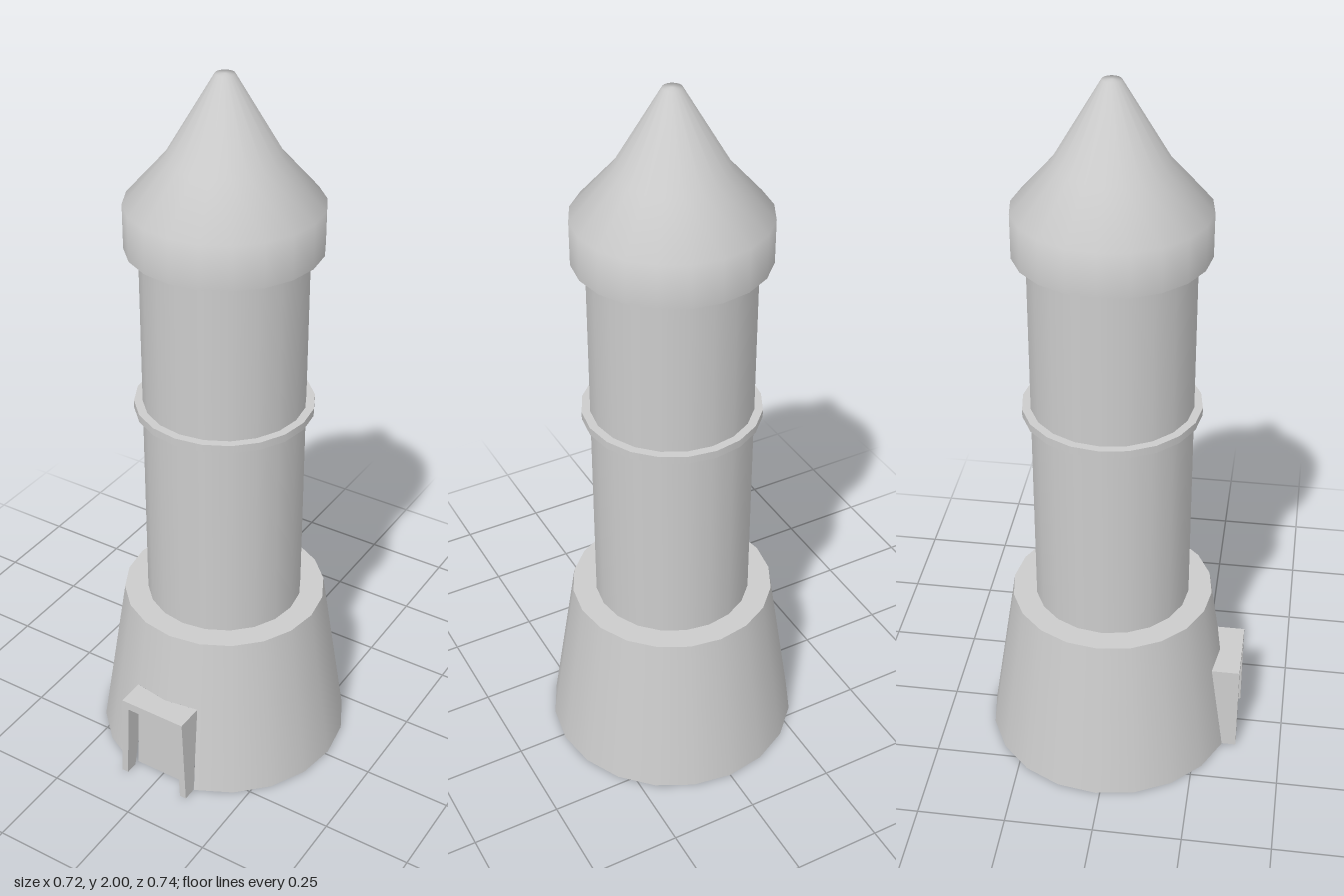
import * as THREE from 'three';

const SIDES = 20;
const STEP = (Math.PI * 2) / SIDES;
const AXIS_Z = -0.013; // the porch shifts the tower axis slightly back
const DOOR_TOP = 0.27;

const material = new THREE.MeshStandardMaterial({ color: 0xcccccc, side: THREE.DoubleSide });

const baseRadius = (y) => 0.36 - (0.36 - 0.287) * (y / 0.48);

function addMesh(parent, name, geometry) {
  const mesh = new THREE.Mesh(geometry, material);
  mesh.name = name;
  parent.add(mesh);
  return mesh;
}

// Surface of revolution from [radius, height] pairs; one call per smooth region
function turned(parent, name, profile, skip = 0) {
  const points = profile.map(([r, y]) => new THREE.Vector2(r, y));
  const geometry = new THREE.LatheGeometry(
    points, SIDES - 2 * skip, skip * STEP, Math.PI * 2 - 2 * skip * STEP);
  return addMesh(parent, name, geometry);
}

// Tapered door surround whose back follows the faceted sloping wall
function doorFrameGeometry() {
  const front = 0.37;
  const outline = [
    [-0.11, 0], [-0.09, 0], [-0.08, 0.245], [0, 0.245], [0.08, 0.245], [0.09, 0],
    [0.11, 0], [0.1, DOOR_TOP], [0, DOOR_TOP], [-0.1, DOOR_TOP],
  ];
  const shape = new THREE.Shape(outline.map(([x, y]) => new THREE.Vector2(x, y)));
  const geometry = new THREE.ExtrudeGeometry(shape, { depth: 1, bevelEnabled: false });
  const p = geometry.attributes.position;
  for (let i = 0; i < p.count; i++) {
    const r = baseRadius(p.getY(i));
    const t = Math.min(1, Math.abs(p.getX(i)) / (r * Math.sin(STEP)));
    const wall = AXIS_Z + r * (1 - (1 - Math.cos(STEP)) * t);
    p.setZ(i, p.getZ(i) > 0.5 ? front : wall);
  }
  geometry.computeVertexNormals();
  return geometry;
}

export function createModel() {
  const model = new THREE.Group();
  model.name = 'tower';

  const body = new THREE.Group();
  body.name = 'towerBody';
  body.position.z = AXIS_Z;
  model.add(body);

  // Flared base, open underneath, with two wall facets left out for the door
  turned(body, 'baseWallLower', [[baseRadius(0), 0], [baseRadius(DOOR_TOP), DOOR_TOP]], 1);
  turned(body, 'baseWallUpper', [[baseRadius(DOOR_TOP), DOOR_TOP], [0.287, 0.48]]);
  turned(body, 'baseLedge', [[0.287, 0.48], [0.22, 0.48]]);

  // Straight shaft with a thin band
  turned(body, 'shaft', [[0.22, 0.48], [0.22, 1.55]]);
  turned(body, 'bandUnderside', [[0.22, 1.08], [0.243, 1.08]]);
  turned(body, 'bandRim', [[0.243, 1.08], [0.243, 1.102]]);
  turned(body, 'bandTop', [[0.243, 1.102], [0.22, 1.102]]);

  // Overhanging head and smooth pointed roof
  turned(body, 'headUnderside', [[0.22, 1.55], [0.257, 1.55]]);
  turned(body, 'roof', [[0.257, 1.55], [0.257, 1.67], [0.15, 1.79], [0.025, 2], [0, 2]]);

  // Door surround and recessed door
  addMesh(model, 'doorFrame', doorFrameGeometry());
  const panel = new THREE.Shape([
    new THREE.Vector2(-0.09, 0), new THREE.Vector2(0.09, 0),
    new THREE.Vector2(0.08, 0.245), new THREE.Vector2(-0.08, 0.245),
  ]);
  addMesh(model, 'door', new THREE.ShapeGeometry(panel)).position.z = 0.318;

  return model;
}
